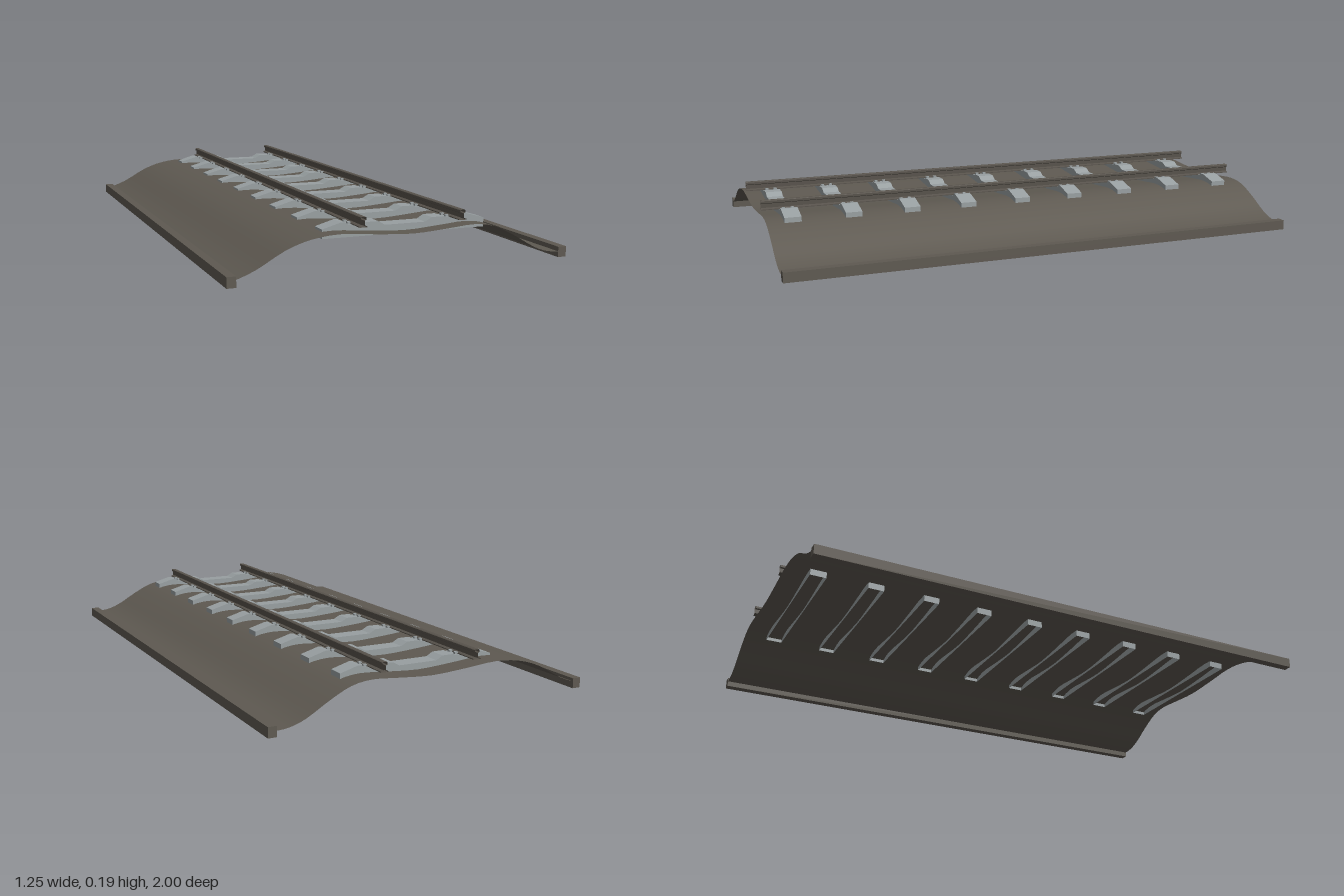
import * as THREE from 'three';

const stone = new THREE.MeshStandardMaterial({ color: 0x5e5951, side: THREE.DoubleSide });
stone.name = 'ballastBrown';
const steel = new THREE.MeshStandardMaterial({ color: 0x57524b, side: THREE.DoubleSide });
steel.name = 'railSteel';
const concrete = new THREE.MeshStandardMaterial({ color: 0x989fa1, side: THREE.DoubleSide });
concrete.name = 'sleeperGrey';

const TRACK_X = 0.0225; // track centre line
const GAUGE = 0.183; // centre line to rail

// Extrudes a closed outline along z, centred, dropping the triangles that `drop` picks
function extrude(points, depth, drop) {
  const shape = new THREE.Shape(points.map(([x, y]) => new THREE.Vector2(x, y)));
  const g = new THREE.ExtrudeGeometry(shape, { depth, bevelEnabled: false });
  g.translate(0, 0, -depth / 2);
  const p = g.attributes.position;
  const kept = [];
  for (let i = 0; i < p.count; i += 3) {
    const tri = [0, 1, 2].map((k) => new THREE.Vector3().fromBufferAttribute(p, i + k));
    if (!drop(tri)) tri.forEach((v) => kept.push(v.x, v.y, v.z));
  }
  const out = new THREE.BufferGeometry();
  out.setAttribute('position', new THREE.Float32BufferAttribute(kept, 3));
  out.computeVertexNormals();
  return out;
}

// Mirrors a half outline (x >= 0, listed from the centre bottom to the centre top)
const mirrored = (half) => [...half, ...half.slice().reverse().map(([x, y]) => [-x, y])];

// Smooth open sheet of ballast swept along the track
function ballastGeometry() {
  const profile = [
    [-0.61, 0.02], [-0.53, 0.05], [-0.43, 0.105], [-0.34, 0.134], [-0.24, 0.144], [-0.12, 0.135],
    [0.02, 0.127], [0.15, 0.135], [0.25, 0.142], [0.33, 0.13], [0.41, 0.092], [0.49, 0.046],
    [0.55, 0.025], [0.61, 0.02],
  ];
  const curve = new THREE.SplineCurve(profile.map(([x, y]) => new THREE.Vector2(x, y)));
  const pts = curve.getPoints(39);
  const pos = [];
  const idx = [];
  pts.forEach((p, i) => {
    pos.push(p.x, p.y, 1, p.x, p.y, -1);
    if (i) {
      const a = 2 * (i - 1);
      idx.push(a, a + 2, a + 1, a + 1, a + 2, a + 3);
    }
  });
  const g = new THREE.BufferGeometry();
  g.setAttribute('position', new THREE.Float32BufferAttribute(pos, 3));
  g.setIndex(idx);
  g.computeVertexNormals();
  return g;
}

export function createModel() {
  const model = new THREE.Group();
  model.name = 'railwayTrack';
  const add = (parent, name, geometry, material, x = 0, y = 0, z = 0) => {
    const mesh = new THREE.Mesh(geometry, material);
    mesh.name = name;
    mesh.position.set(x, y, z);
    parent.add(mesh);
  };

  add(model, 'ballastBed', ballastGeometry(), stone);

  // Edge kerbs
  const kerb = new THREE.BoxGeometry(0.032, 0.037, 2);
  add(model, 'leftKerb', kerb, stone, 0.609, 0.0185);
  add(model, 'rightKerb', kerb, stone, -0.609, 0.0185);

  // Rails: foot, web and head, open at both ends
  const railOutline = mirrored([
    [0.014, 0.16], [0.014, 0.163], [0.004, 0.167], [0.004, 0.182], [0.0095, 0.185], [0.0095, 0.193], [0.007, 0.195],
  ]);
  const rail = extrude(railOutline, 2, (t) => t.every((v) => v.z === t[0].z));
  add(model, 'leftRail', rail, steel, TRACK_X + GAUGE);
  add(model, 'rightRail', rail, steel, TRACK_X - GAUGE);

  // Sleepers: open underneath, waisted top with raised rail seats
  const sleeperOutline = mirrored([
    [0.302, 0.118], [0.302, 0.15], [0.235, 0.169], [0.222, 0.169], [0.207, 0.16], [0.155, 0.16],
    [0.145, 0.164], [0.1, 0.164], [0.075, 0.15],
  ]);
  const sleeper = extrude(sleeperOutline, 0.062, (t) => t.every((v) => v.y < 0.119));
  const clip = new THREE.BoxGeometry(0.012, 0.008, 0.012);
  for (let i = 0; i < 9; i++) {
    const tie = new THREE.Group();
    tie.name = 'sleeper' + (i + 1);
    tie.position.set(TRACK_X, 0, 0.01 + (i - 4) * 0.2237);
    add(tie, 'sleeperBlock', sleeper, concrete);
    // Rail clips on both sides of each rail
    for (const side of [-1, 1]) {
      for (const dx of [-0.019, 0.019]) {
        for (const dz of [-0.016, 0.016]) add(tie, 'railClip', clip, concrete, side * GAUGE + dx, 0.163, dz);
      }
    }
    model.add(tie);
  }
  return model;
}
